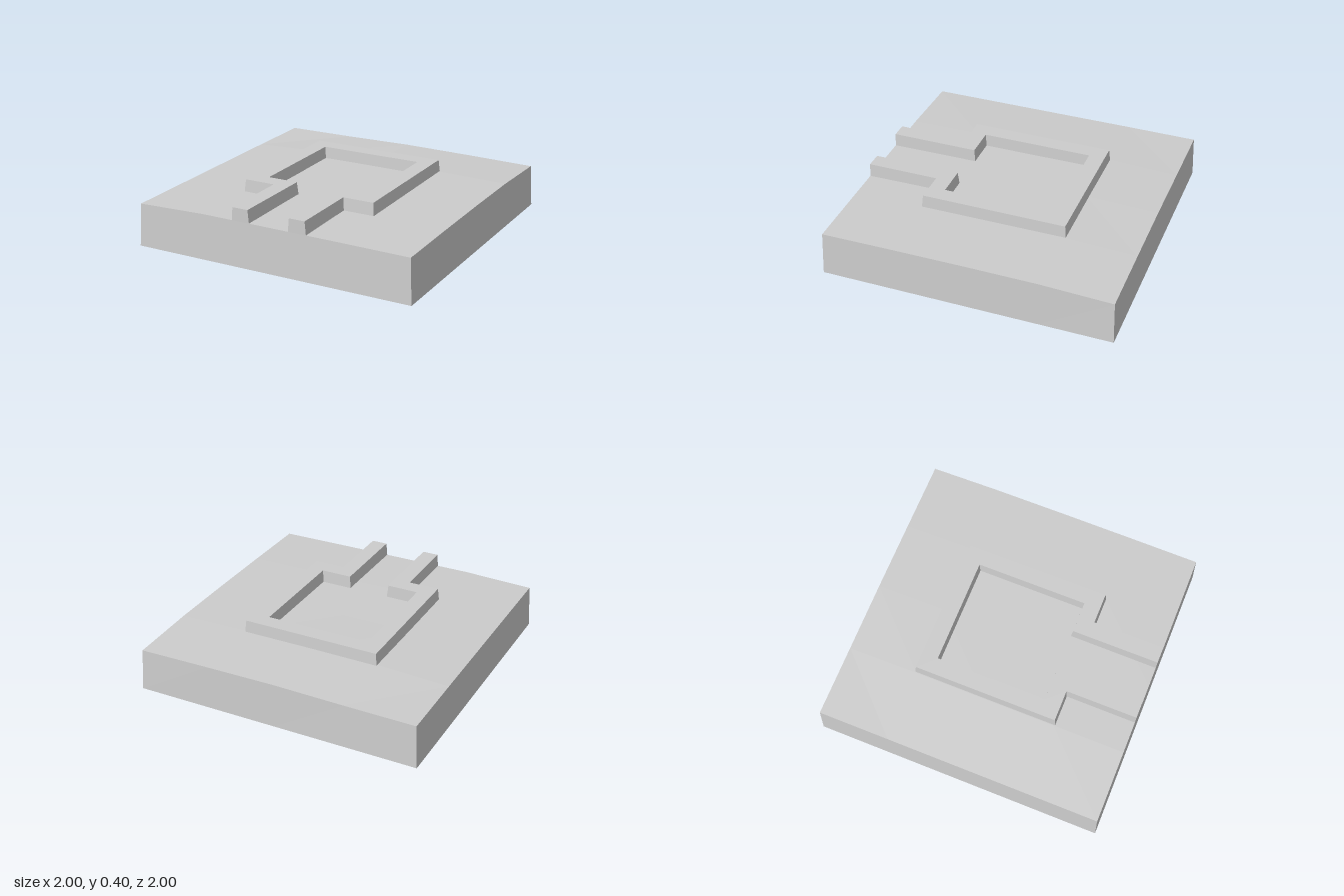
import * as THREE from 'three';

const material = new THREE.MeshStandardMaterial({ color: 0xcccccc, flatShading: true, side: THREE.DoubleSide });

// Height of the uneven ground: rows from back to front, columns from left edge (-x) to +x
const GROUND = [
  [0.295, 0.298, 0.305, 0.300, 0.292],
  [0.297, 0.318, 0.320, 0.318, 0.309],
  [0.297, 0.316, 0.315, 0.316, 0.311],
  [0.297, 0.316, 0.314, 0.314, 0.309],
  [0.297, 0.312, 0.310, 0.308, 0.304],
];

// Block with slightly tapered sides and a gently uneven top
function slab() {
  const geo = new THREE.BoxGeometry(2, 1, 2, 4, 1, 4);
  const p = geo.attributes.position;
  for (let i = 0; i < p.count; i++) {
    const x = p.getX(i), z = p.getZ(i);
    if (p.getY(i) < 0) p.setY(i, 0);
    else {
      const y = GROUND[Math.round((z + 1) * 2)][Math.round((x + 1) * 2)];
      p.setXYZ(i, x * 0.985, y, z * 0.99);
    }
  }
  geo.computeVertexNormals();
  const mesh = new THREE.Mesh(geo, material);
  mesh.name = 'groundSlab';
  return mesh;
}

// Wall with a trapezoid section swept along an open path with mitred right-angle corners
function wall(path, section) {
  const dir = (a, b) => new THREE.Vector2().subVectors(b, a).normalize();
  const positions = [], index = [], n = section.length;
  path.forEach((pt, i) => {
    const d0 = dir(path[Math.max(i - 1, 0)], path[Math.max(i, 1)]);
    const last = path.length - 1;
    const d1 = dir(path[Math.min(i, last - 1)], path[Math.min(i + 1, last)]);
    // At a corner the two side normals add up to the mitre offset
    const side = new THREE.Vector2(-d0.y, d0.x);
    if (Math.abs(d0.dot(d1)) < 0.5) side.add(new THREE.Vector2(-d1.y, d1.x));
    for (const [w, y] of section) positions.push(pt.x + side.x * w, y, pt.y + side.y * w);
    if (i > 0) {
      for (let k = 0; k < n; k++) {
        const a = (i - 1) * n + k, b = (i - 1) * n + (k + 1) % n;
        index.push(a, b, a + n, b, b + n, a + n);
      }
    }
  });
  // End caps
  const e = (path.length - 1) * n;
  index.push(0, 2, 1, 0, 3, 2, e, e + 1, e + 2, e, e + 2, e + 3);
  const geo = new THREE.BufferGeometry();
  geo.setAttribute('position', new THREE.Float32BufferAttribute(positions, 3));
  geo.setIndex(index);
  const flat = geo.toNonIndexed();
  flat.computeVertexNormals();
  const mesh = new THREE.Mesh(flat, material);
  mesh.name = 'enclosureWall';
  return mesh;
}

export function createModel() {
  const group = new THREE.Group();
  group.name = 'walledEnclosure';

  // Half of the wall's centre line, from the entrance passage round to the back corner
  const half = [[0.207, 0.99], [0.207, 0.44], [0.424, 0.44], [0.424, -0.444]];
  const mirrored = half.map(([x, z]) => [-x, z]).reverse();
  const path = [...half, ...mirrored].map(([x, z]) => new THREE.Vector2(x, z));

  // Section: half width and height, narrower at the top
  const section = [[0.067, 0.28], [0.056, 0.4], [-0.056, 0.4], [-0.067, 0.28]];

  group.add(slab(), wall(path, section));
  return group;
}
